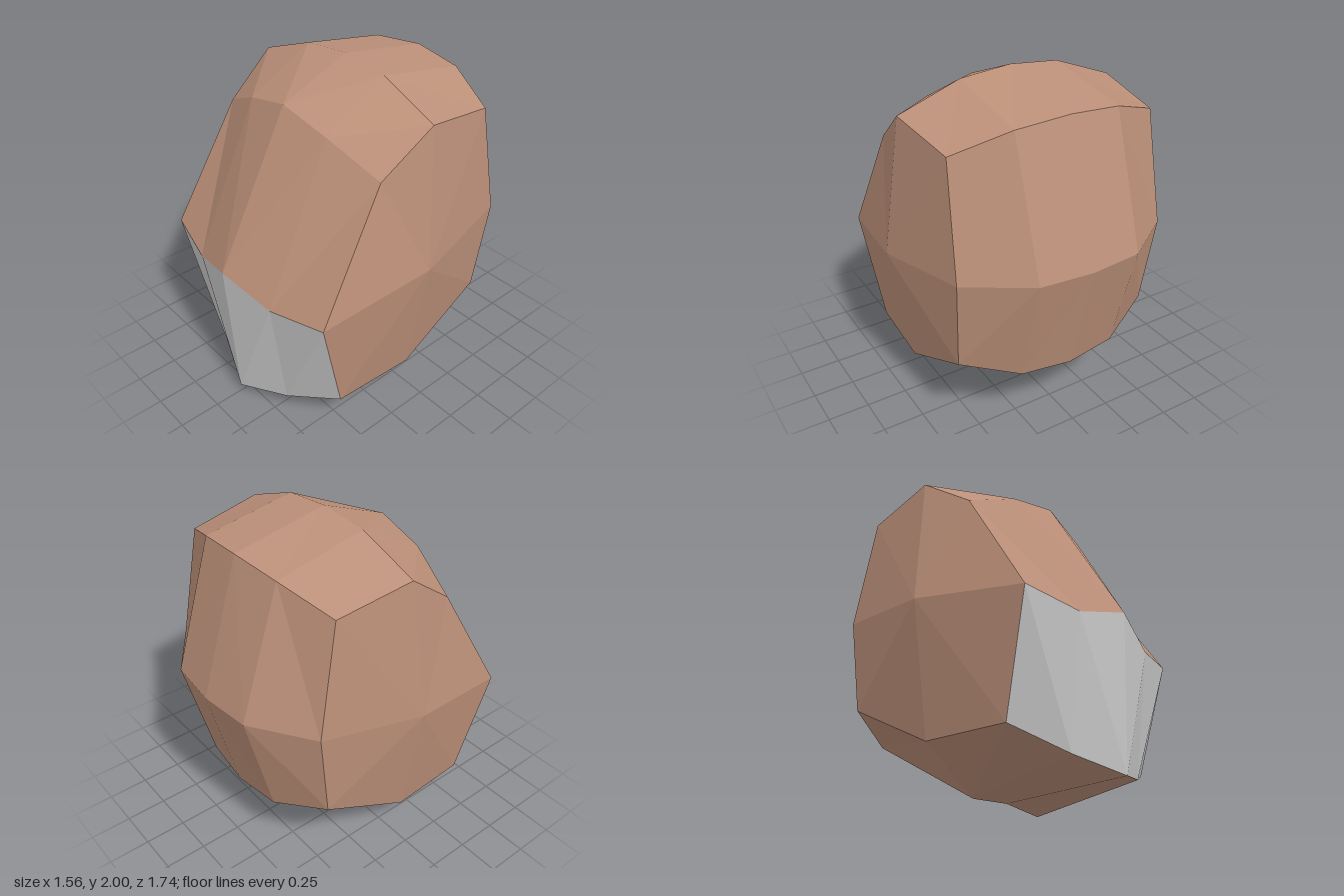
import * as THREE from 'three';

// Rings run front -> top -> back -> bottom; each holds [x, y, z] for the centre, inner and outer columns
const RINGS = [
  [[0, 0.95, 0.87], [0.33, 0.85, 0.80], [0.685, 0.89, 0.72]],    // mouth line
  [[0, 1.83, 0.40], [0.32, 1.75, 0.375], [0.64, 1.60, 0.295]],   // brow
  [[0, 2.00, -0.035], [0.31, 1.97, -0.03], [0.685, 1.83, -0.02]], // crown
  [[0, 1.90, -0.62], [0.32, 1.87, -0.59], [0.64, 1.76, -0.48]],  // upper back
  [[0, 1.10, -0.87], [0.32, 1.10, -0.84], [0.67, 1.09, -0.60]],  // back
  [[0, 0.40, -0.70], [0.31, 0.42, -0.67], [0.64, 0.53, -0.53]],  // nape
  [[0, 0.03, 0.04], [0.28, 0.005, 0.04], [0.65, 0.23, 0.04]],    // underside
  [[0, 0.05, 0.82], [0.31, 0.115, 0.70], [0.62, 0.225, 0.545]],  // chin
];
const SIDE_CENTRE = [0.78, 1.0, 0.04];

function makeMesh(name, triangles, material) {
  const geometry = new THREE.BufferGeometry();
  geometry.setAttribute('position', new THREE.Float32BufferAttribute(triangles.flat(2), 3));
  geometry.computeVertexNormals(); // unshared corners give flat facets
  const mesh = new THREE.Mesh(geometry, material);
  mesh.name = name;
  return mesh;
}

// Adds a triangle and its mirror image across x = 0
function addMirrored(list, a, b, c) {
  const flip = ([x, y, z]) => [-x, y, z];
  list.push([a, b, c], [flip(a), flip(c), flip(b)]);
}

export function createModel() {
  const brown = new THREE.MeshStandardMaterial({ color: 0xbc9079 });
  brown.name = 'warm brown';
  const grey = new THREE.MeshStandardMaterial({ color: 0xcccccc });
  grey.name = 'light grey';

  const shell = [], jaw = [], sides = [];
  RINGS.forEach((ring, i) => {
    const next = RINGS[(i + 1) % RINGS.length];
    // The strip between chin and mouth line is the grey jaw plate
    const target = i === RINGS.length - 1 ? jaw : shell;
    for (let j = 0; j < 2; j++) {
      addMirrored(target, ring[j], ring[j + 1], next[j + 1]);
      addMirrored(target, ring[j], next[j + 1], next[j]);
    }
    // Bulging side, fanned around its centre
    addMirrored(sides, SIDE_CENTRE, next[2], ring[2]);
  });

  const group = new THREE.Group();
  group.name = 'head';
  group.add(
    makeMesh('headShell', shell, brown),
    makeMesh('headSides', sides, brown),
    makeMesh('lowerFace', jaw, grey),
  );
  return group;
}
